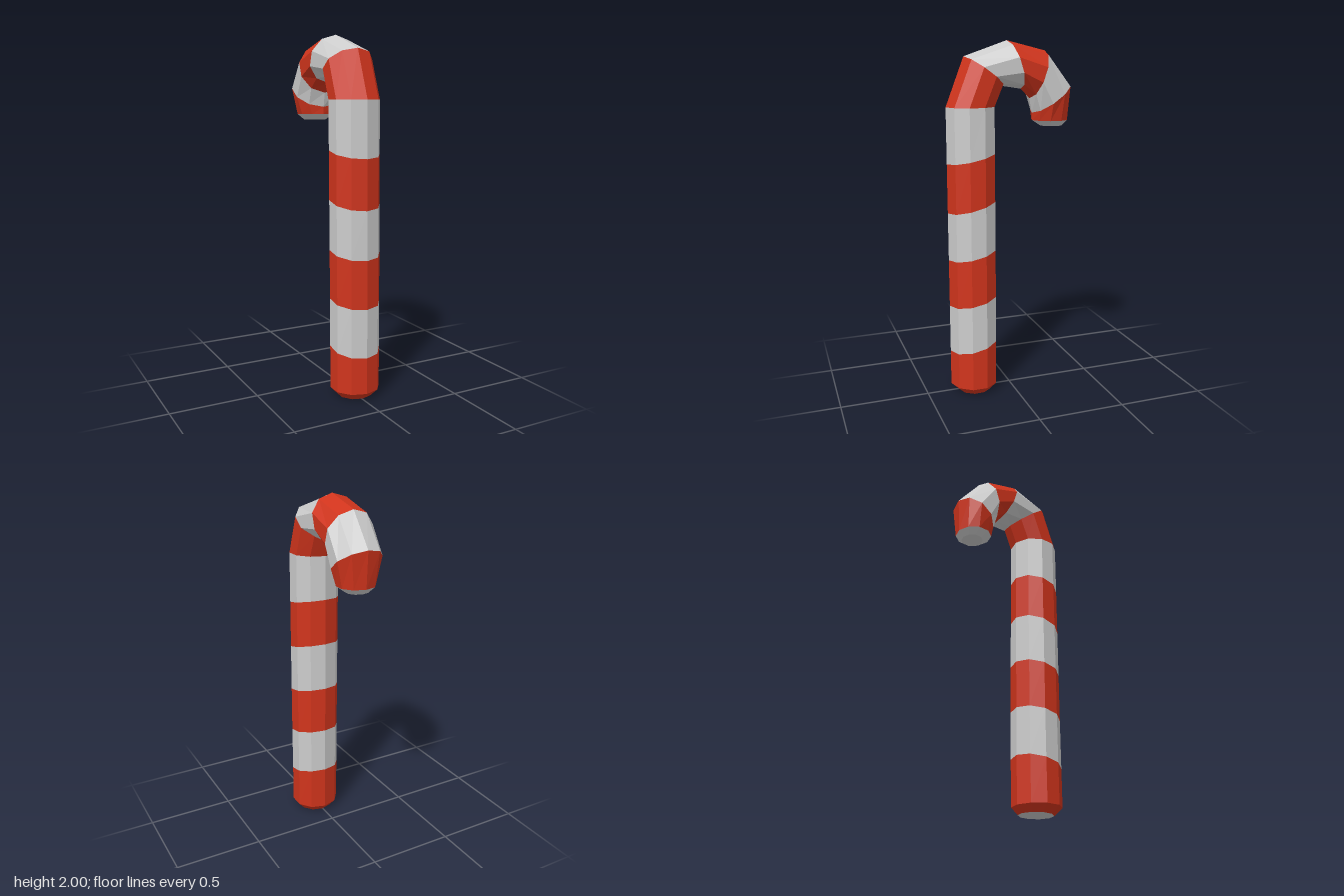
import * as THREE from 'three';

const SIDES = 10;
const red = new THREE.MeshStandardMaterial({ color: 0xd0341c, flatShading: true });
const grey = new THREE.MeshStandardMaterial({ color: 0xcccccc, flatShading: true });

// Cross-sections along the cane: [outer z, outer y, inner z, inner y, half width, centre x]
const SECTIONS = [
  [0.313, 0.0, 0.12, 0.005, 0.1, 0.006],
  [0.36, 0.045, 0.085, 0.045, 0.14, 0.005],
  [0.36, 0.25, 0.083, 0.31, 0.14, 0.004],
  [0.36, 0.525, 0.083, 0.58, 0.14, 0.003],
  [0.36, 0.795, 0.083, 0.855, 0.14, 0.001],
  [0.36, 1.065, 0.083, 1.135, 0.14, -0.001],
  [0.36, 1.34, 0.083, 1.4, 0.14, -0.003],
  [0.36, 1.648, 0.083, 1.65, 0.14, -0.005],
  [0.257, 1.915, 0.037, 1.756, 0.14, -0.005],
  [0.012, 2.0, -0.07, 1.74, 0.14, -0.005],
  [-0.21, 1.947, -0.122, 1.687, 0.14, -0.005],
  [-0.356, 1.767, -0.138, 1.607, 0.14, -0.005],
  [-0.345, 1.565, -0.14, 1.565, 0.107, -0.005],
  [-0.313, 1.533, -0.19, 1.533, 0.065, -0.005],
];

// Decagon with one corner on the outer side of the bend and one on the inner
function ring([oz, oy, iz, iy, halfWidth, cx]) {
  const points = [];
  for (let i = 0; i < SIDES; i++) {
    const a = Math.PI / 2 + (i / SIDES) * Math.PI * 2;
    const s = Math.sin(a) / 2;
    points.push(new THREE.Vector3(
      cx + Math.cos(a) * halfWidth,
      (oy + iy) / 2 + (oy - iy) * s,
      (oz + iz) / 2 + (oz - iz) * s,
    ));
  }
  return points;
}

function meshFrom(points, material, name) {
  const geometry = new THREE.BufferGeometry().setFromPoints(points);
  geometry.computeVertexNormals();
  const mesh = new THREE.Mesh(geometry, material);
  mesh.name = name;
  return mesh;
}

// Wall between two neighbouring rings
function band(lower, upper, material, name) {
  const points = [];
  for (let i = 0; i < SIDES; i++) {
    const j = (i + 1) % SIDES;
    points.push(lower[i], upper[i], lower[j], lower[j], upper[i], upper[j]);
  }
  return meshFrom(points, material, name);
}

// Flat end face
function cap(points, isStart, name) {
  const fan = [];
  for (let i = 1; i < SIDES - 1; i++) {
    fan.push(points[0], ...(isStart ? [points[i], points[i + 1]] : [points[i + 1], points[i]]));
  }
  return meshFrom(fan, grey, name);
}

export function createModel() {
  const group = new THREE.Group();
  group.name = 'candyCane';
  const rings = SECTIONS.map(ring);
  const last = rings.length - 1;

  // Bevelled foot, alternating stripes, bevelled tip
  for (let i = 0; i < last; i++) {
    const name = i === 0 ? 'footBevel' : i === last - 1 ? 'tipBevel' : `${i < 7 ? 'shaft' : 'hook'}Stripe${i}`;
    const isRed = i === 0 || i % 2 === 1;
    group.add(band(rings[i], rings[i + 1], isRed && i !== last - 1 ? red : grey, name));
  }
  group.add(cap(rings[0], true, 'footCap'), cap(rings[last], false, 'tipCap'));
  return group;
}
